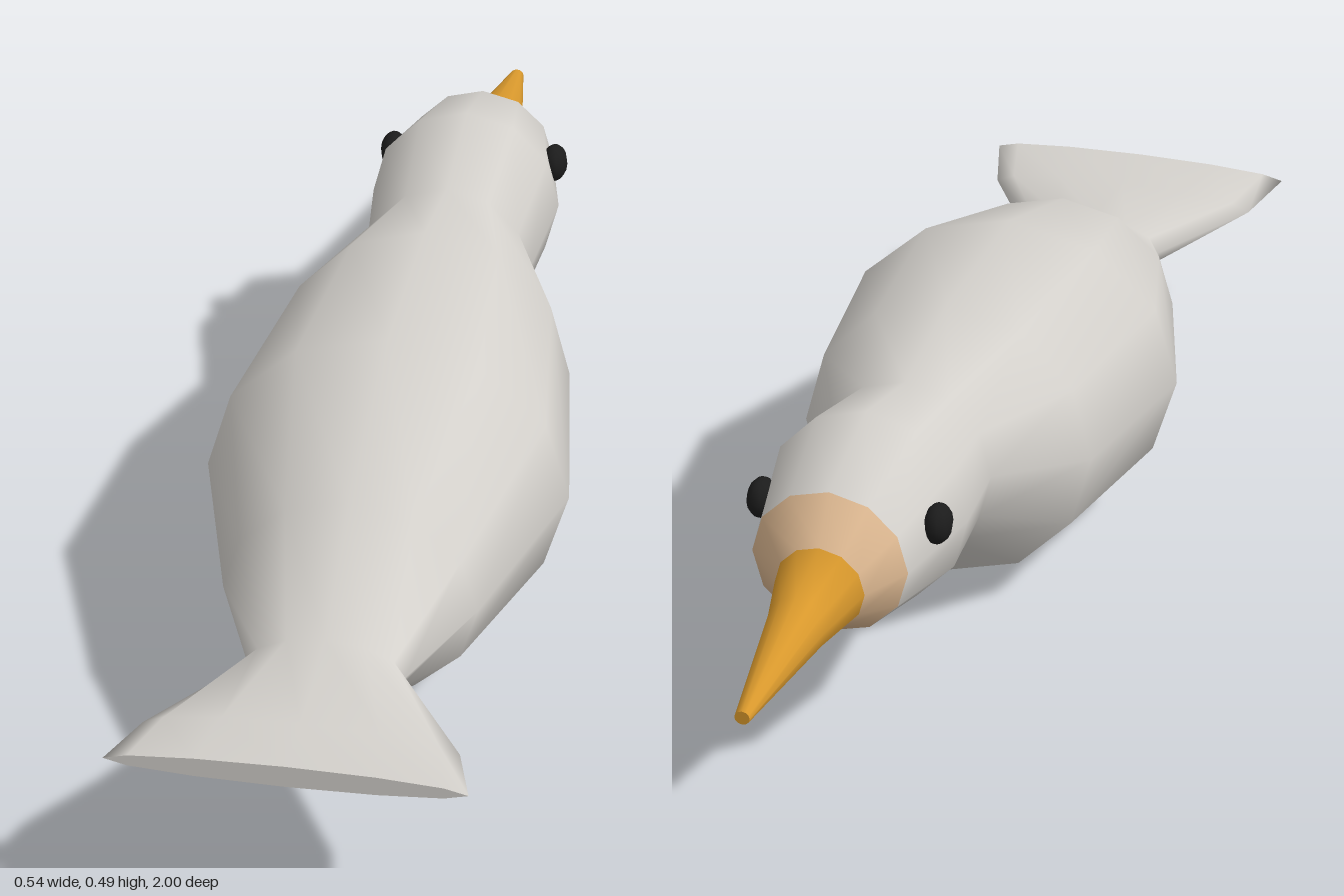
import * as THREE from 'three';

const SIDES = 12;

// Cross-sections from tail to beak tip: z, top y, bottom y, half width
const RINGS = [
  [1.0, 0.268, 0.235, 0.25],
  [0.89, 0.262, 0.213, 0.22],
  [0.71, 0.278, 0.177, 0.112],
  [0.53, 0.39, 0.068, 0.185],
  [0.23, 0.483, 0.003, 0.272],
  [-0.09, 0.487, 0.037, 0.225],
  [-0.29, 0.455, 0.185, 0.13],
  [-0.47, 0.495, 0.19, 0.15],
  [-0.635, 0.45, 0.23, 0.115],
  [-0.68, 0.385, 0.258, 0.066],
  [-0.78, 0.36, 0.268, 0.043],
  [-1.0, 0.305, 0.285, 0.011],
];

const material = (name, color) => {
  const m = new THREE.MeshStandardMaterial({ color });
  m.name = name;
  return m;
};

// Smooth loft through all the rings, twelve points each
function loft() {
  const positions = [], index = [];
  for (const [z, top, bottom, w] of RINGS) {
    for (let j = 0; j < SIDES; j++) {
      const a = (j / SIDES) * Math.PI * 2;
      positions.push(Math.sin(a) * w, (top + bottom) / 2 + Math.cos(a) * (top - bottom) / 2, z);
    }
  }
  for (let i = 0; i < RINGS.length - 1; i++) {
    for (let j = 0; j < SIDES; j++) {
      const a = i * SIDES + j, b = i * SIDES + (j + 1) % SIDES;
      const c = a + SIDES, d = b + SIDES;
      index.push(a, b, c, b, d, c);
    }
  }
  const g = new THREE.BufferGeometry();
  g.setAttribute('position', new THREE.Float32BufferAttribute(positions, 3));
  g.setIndex(index);
  g.computeVertexNormals();
  return g;
}

export function createModel() {
  const group = new THREE.Group();
  group.name = 'bird';
  const plumage = material('plumage', 0xd3d0cb);
  const bandTan = material('beakBandTan', 0xd8b48e);
  const beakOrange = material('beakOrange', 0xd8982c);
  const eyeBlack = material('eyeBlack', 0x1c1c1c);

  const add = (name, geometry, mat) => {
    const mesh = new THREE.Mesh(geometry, mat);
    mesh.name = name;
    group.add(mesh);
    return mesh;
  };

  // Body, band and beak share the loft's points and normals, so seams stay smooth
  const skin = loft();
  const all = Array.from(skin.index.array);
  const section = (name, from, to, mat) => {
    const g = new THREE.BufferGeometry();
    g.setAttribute('position', skin.attributes.position.clone());
    g.setAttribute('normal', skin.attributes.normal.clone());
    g.setIndex(all.slice(from * SIDES * 6, to * SIDES * 6));
    add(name, g, mat);
  };
  section('body', 0, 8, plumage);
  section('beakBand', 8, 9, bandTan);
  section('beak', 9, 11, beakOrange);

  // Flat ends of the tail and the beak
  const cap = (name, [z, top, bottom, w], turn, mat) => {
    const mesh = add(name, new THREE.CircleGeometry(1, SIDES), mat);
    mesh.scale.set(w, (top - bottom) / 2, 1);
    mesh.rotation.y = turn;
    mesh.position.set(0, (top + bottom) / 2, z);
  };
  cap('tailEnd', RINGS[0], 0, plumage);
  cap('beakTip', RINGS[RINGS.length - 1], Math.PI, beakOrange);

  // Eyes
  for (const side of [1, -1]) {
    const eye = add(side > 0 ? 'rightEye' : 'leftEye', new THREE.SphereGeometry(0.03, 10, 8), eyeBlack);
    eye.scale.x = 0.7;
    eye.position.set(side * 0.131, 0.377, -0.548);
  }
  return group;
}
